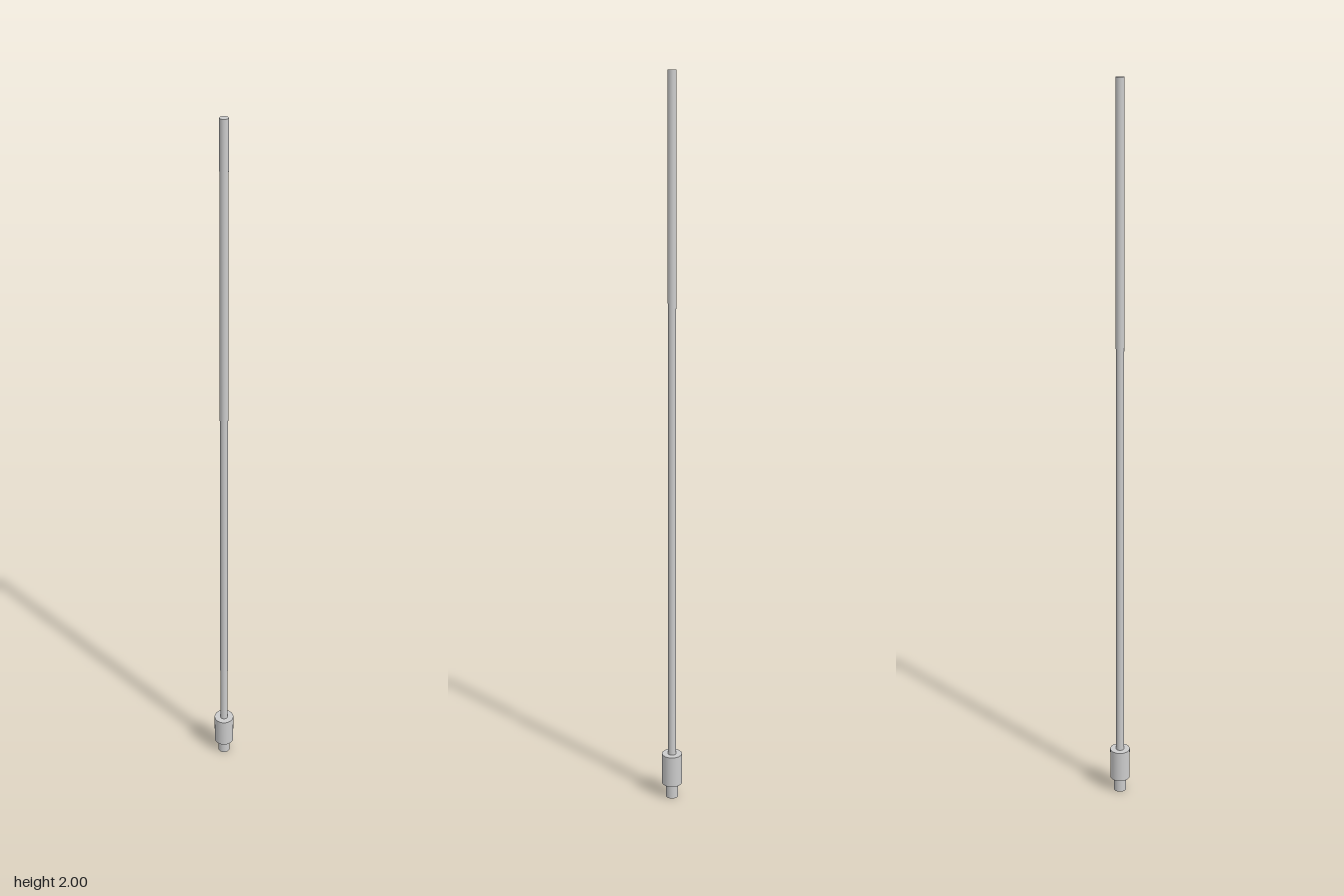
import * as THREE from 'three';

export function createModel() {
  const group = new THREE.Group();
  const material = new THREE.MeshStandardMaterial({ color: 0xcccccc });

  // Upright cylinder spanning y0 to y1
  const addCylinder = (name, radius, y0, y1) => {
    const mesh = new THREE.Mesh(new THREE.CylinderGeometry(radius, radius, y1 - y0, 48), material);
    mesh.position.y = (y0 + y1) / 2;
    mesh.name = name;
    group.add(mesh);
  };

  addCylinder('connectorStub', 0.0175, 0, 0.042); // narrow plug at the foot
  addCylinder('collar', 0.028, 0.042, 0.133); // wide sleeve around the base
  addCylinder('rod', 0.011, 0.133, 2); // long slender shaft

  return group;
}
